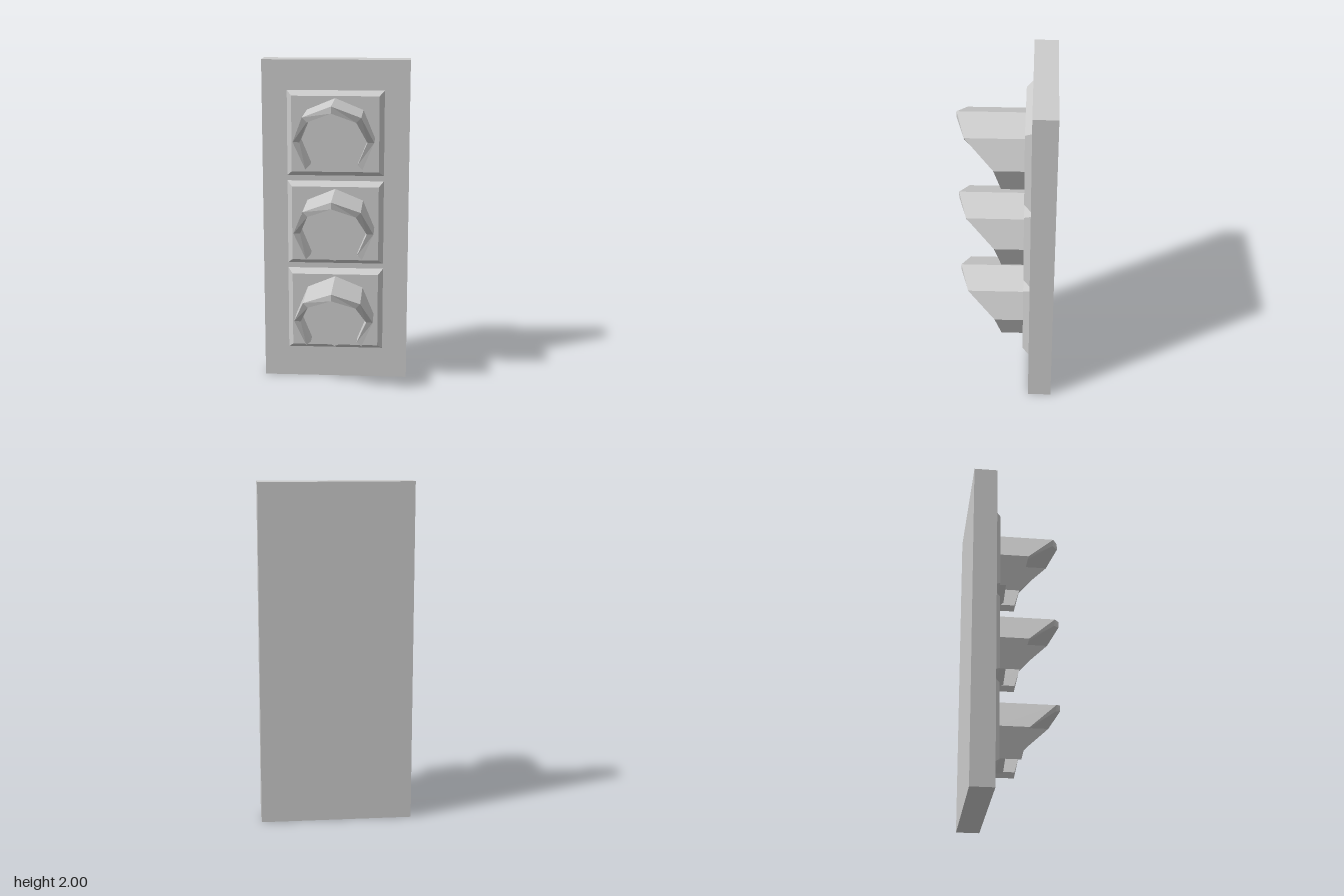
import * as THREE from 'three';

const material = new THREE.MeshStandardMaterial({ color: 0xcccccc, flatShading: true });

function part(name, geometry, parent) {
  const mesh = new THREE.Mesh(geometry, material);
  mesh.name = name;
  parent.add(mesh);
  return mesh;
}

// Box whose front face is narrowed to make a bevelled frame
function bezelGeometry(w, h, depth, inset) {
  const g = new THREE.BoxGeometry(w, h, depth).toNonIndexed();
  const p = g.attributes.position;
  for (let i = 0; i < p.count; i++) {
    if (p.getZ(i) > 0) {
      p.setX(i, p.getX(i) - Math.sign(p.getX(i)) * inset);
      p.setY(i, p.getY(i) - Math.sign(p.getY(i)) * inset);
    }
  }
  g.computeVertexNormals();
  return g;
}

// Octagonal hood, open at the bottom, its front edge sloping back downwards
function visorGeometry(outer, inner, back) {
  const fronts = [0.03, 0.07, 0.235, 0.285, 0.235, 0.07, 0.03];
  const sections = fronts.map((front, i) => {
    const a = (i - 3) * Math.PI / 4;
    const at = (r, z) => [r * Math.sin(a), r * Math.cos(a), z];
    return [at(outer, back), at(outer, front), at(inner, front), at(inner, back)];
  });
  const positions = [];
  const quad = (a, b, c, d) => positions.push(...a, ...b, ...c, ...a, ...c, ...d);
  for (let i = 0; i < sections.length - 1; i++) {
    const s = sections[i], t = sections[i + 1];
    for (let j = 0; j < 4; j++) {
      const k = (j + 1) % 4;
      quad(s[j], s[k], t[k], t[j]);
    }
  }
  const [s0, s1, s2, s3] = sections[0];
  quad(s0, s3, s2, s1);
  quad(...sections[sections.length - 1]);
  const g = new THREE.BufferGeometry();
  g.setAttribute('position', new THREE.Float32BufferAttribute(positions, 3));
  g.computeVertexNormals();
  return g;
}

export function createModel() {
  const model = new THREE.Group();
  model.name = 'signalLight';

  // Flat backing board
  part('backPlate', new THREE.BoxGeometry(0.894, 2, 0.14), model).position.set(0, 1, -0.215);

  const bezel = bezelGeometry(0.59, 0.52, 0.04, 0.03);
  const lens = new THREE.CylinderGeometry(0.2, 0.2, 0.05, 8).rotateX(Math.PI / 2);
  const visor = visorGeometry(0.24, 0.2, -0.105);

  // Three identical lamps, bottom to top
  ['lowerLamp', 'middleLamp', 'upperLamp'].forEach((name, i) => {
    const lamp = new THREE.Group();
    lamp.name = name;
    lamp.position.y = 0.43 + i * 0.553;
    part('bezel', bezel, lamp).position.set(0, 0.022, -0.125);
    part('lens', lens, lamp).position.z = -0.08;
    part('visor', visor, lamp);
    model.add(lamp);
  });
  return model;
}
